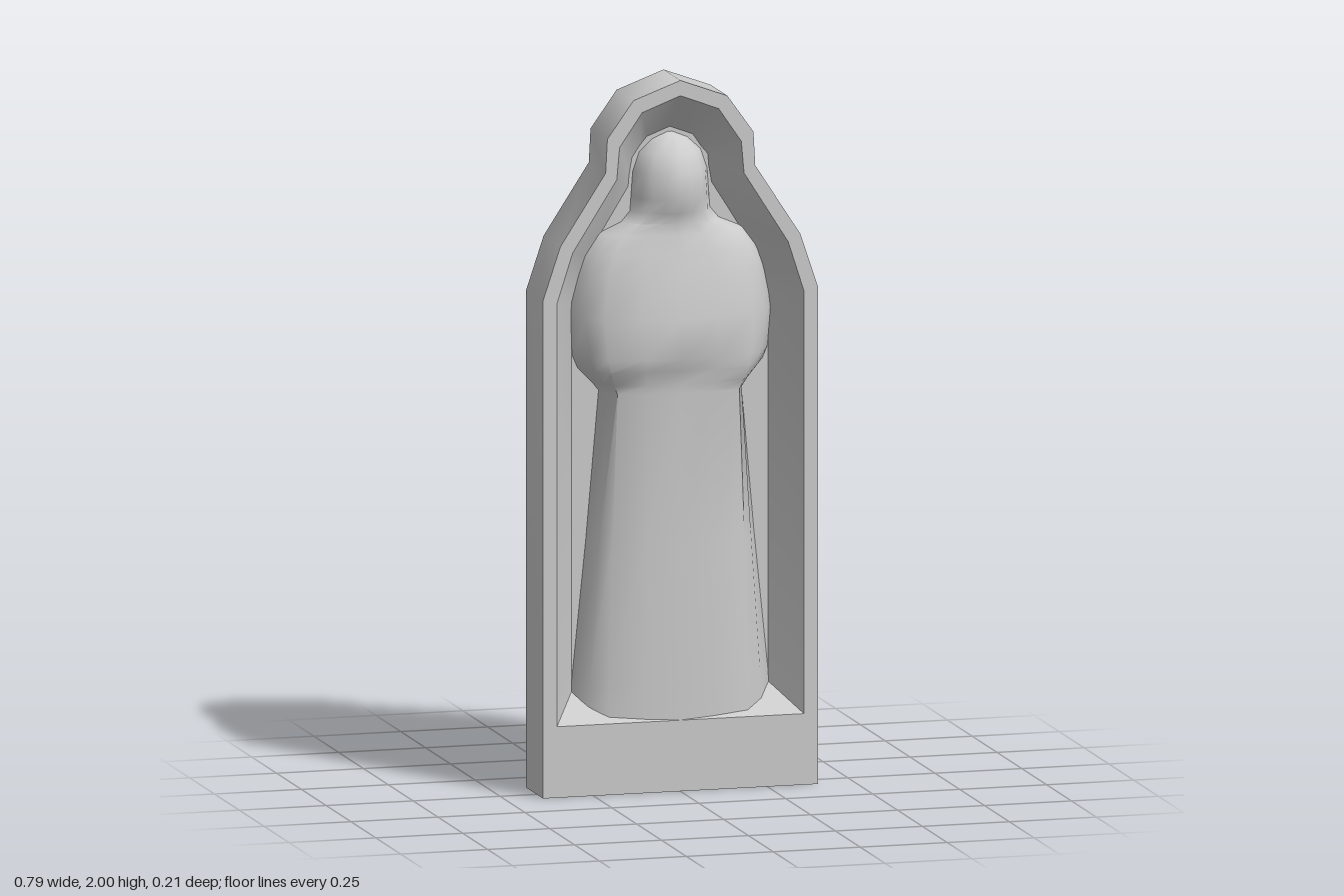
import * as THREE from 'three';
import { toCreasedNormals } from 'three/addons/utils/BufferGeometryUtils.js';

const FRONT = 0.065, BACK = -0.105, BOARD = -0.042;

function makeMesh(name, geometry) {
  const material = new THREE.MeshStandardMaterial({ color: 0xcccccc, side: THREE.DoubleSide });
  const mesh = new THREE.Mesh(geometry, material);
  mesh.name = name;
  return mesh;
}

// Full counter-clockwise outline from its right half (bottom to apex)
function mirrorOutline(half) {
  const left = half.slice(0, -1).reverse().map(([x, y]) => [-x, y]);
  return [...half, ...left].map(([x, y]) => new THREE.Vector2(x, y));
}

// Surface through rows of 3D points
function loft(rows, closed = false) {
  const n = rows[0].length, index = [];
  for (let r = 0; r < rows.length - 1; r++) {
    for (let i = 0; i < (closed ? n : n - 1); i++) {
      const j = (i + 1) % n, a = r * n + i, b = r * n + j;
      index.push(a, a + n, b, b, a + n, b + n);
    }
  }
  const g = new THREE.BufferGeometry();
  g.setAttribute('position', new THREE.Float32BufferAttribute(rows.flat(2), 3));
  g.setIndex(index);
  g.computeVertexNormals();
  return g;
}

const atDepth = (outline, z) => outline.map((p) => [p.x, p.y, z]);
const band = (a, za, b, zb) => toCreasedNormals(loft([atDepth(a, za), atDepth(b, zb)], true), 0.75);

// Flat face at depth z, optionally with a hole
function face(outline, z, hole) {
  const shape = new THREE.Shape(outline);
  if (hole) shape.holes.push(new THREE.Path(hole));
  return new THREE.ShapeGeometry(shape).translate(0, 0, z);
}

export function createModel() {
  const group = new THREE.Group();

  const arch = [[0.355, 1.39], [0.31, 1.53], [0.183, 1.73], [0.175, 1.82], [0.11, 1.915], [0, 1.957]];
  const outer = mirrorOutline([[0.395, 0], [0.395, 1.4], [0.345, 1.55], [0.215, 1.75],
    [0.21, 1.845], [0.135, 1.95], [0, 2]]);
  const opening = mirrorOutline([[0.355, 0.2], ...arch]);
  const board = mirrorOutline([[0.355, 0.037], ...arch]);
  const nicheEnd = mirrorOutline([[0.239, 0.322], [0.239, 1.36], [0.2, 1.475], [0.083, 1.665],
    [0.07, 1.74], [0.04, 1.775], [0, 1.79]]);

  // Arched frame: outer wall and front rim
  group.add(makeMesh('frameWall', band(outer, FRONT, outer, BACK)));
  group.add(makeMesh('frameRim', face(outer, FRONT, opening)));

  // Tapering niche that passes through the backing board
  group.add(makeMesh('nicheWall',
    band([...opening].reverse(), FRONT, [...nicheEnd].reverse(), BACK)));
  group.add(makeMesh('nicheEnd', face(nicheEnd, BACK)));
  group.add(makeMesh('backingBoard', face(board, BOARD)));

  // Robed figure: height, half width, corner x, front depth, corner depth
  const sections = [
    [0.2, 0.29, 0.2, 0.0645, 0.044],
    [0.3, 0.283, 0.2, 0.066, 0.045],
    [0.7, 0.242, 0.19, 0.069, 0.045],
    [1.12, 0.205, 0.175, 0.074, 0.045],
    [1.145, 0.225, 0.185, 0.075, 0.05],
    [1.185, 0.265, 0.2, 0.08, 0.065],
    [1.22, 0.28, 0.205, 0.102, 0.064],
    [1.33, 0.291, 0.215, 0.098, 0.055],
    [1.45, 0.272, 0.2, 0.065, 0.042],
    [1.51, 0.25, 0.18, 0.052, 0.032],
    [1.56, 0.21, 0.15, 0.04, 0.018],
    [1.59, 0.14, 0.1, 0.038, 0.012],
    [1.62, 0.115, 0.075, 0.048, 0.022],
    [1.66, 0.112, 0.073, 0.066, 0.032],
    [1.73, 0.107, 0.07, 0.06, 0.028],
    [1.785, 0.088, 0.058, 0.035, 0.008],
    [1.82, 0.05, 0.03, -0.01, -0.02],
    [1.838, 0.006, 0.004, -0.04, -0.041],
  ];
  const rows = sections.map(([y, w, c, front, corner]) => {
    const half = [
      [c / 2, front * 0.5 + corner * 0.5 + 0.002],
      [c, corner],
      [c + (w - c) * 0.55, corner * 0.6 + BOARD * 0.4],
      [w, BOARD],
      [w * 1.025, -0.1],
    ];
    const left = half.map(([x, z]) => [-x, y, z]).reverse();
    return [...left, [0, y, front], ...half.map(([x, z]) => [x, y, z])];
  });
  // Rows run top to bottom so the surface faces forward
  group.add(makeMesh('robedFigure', toCreasedNormals(loft(rows.reverse()), 0.9)));

  return group;
}
